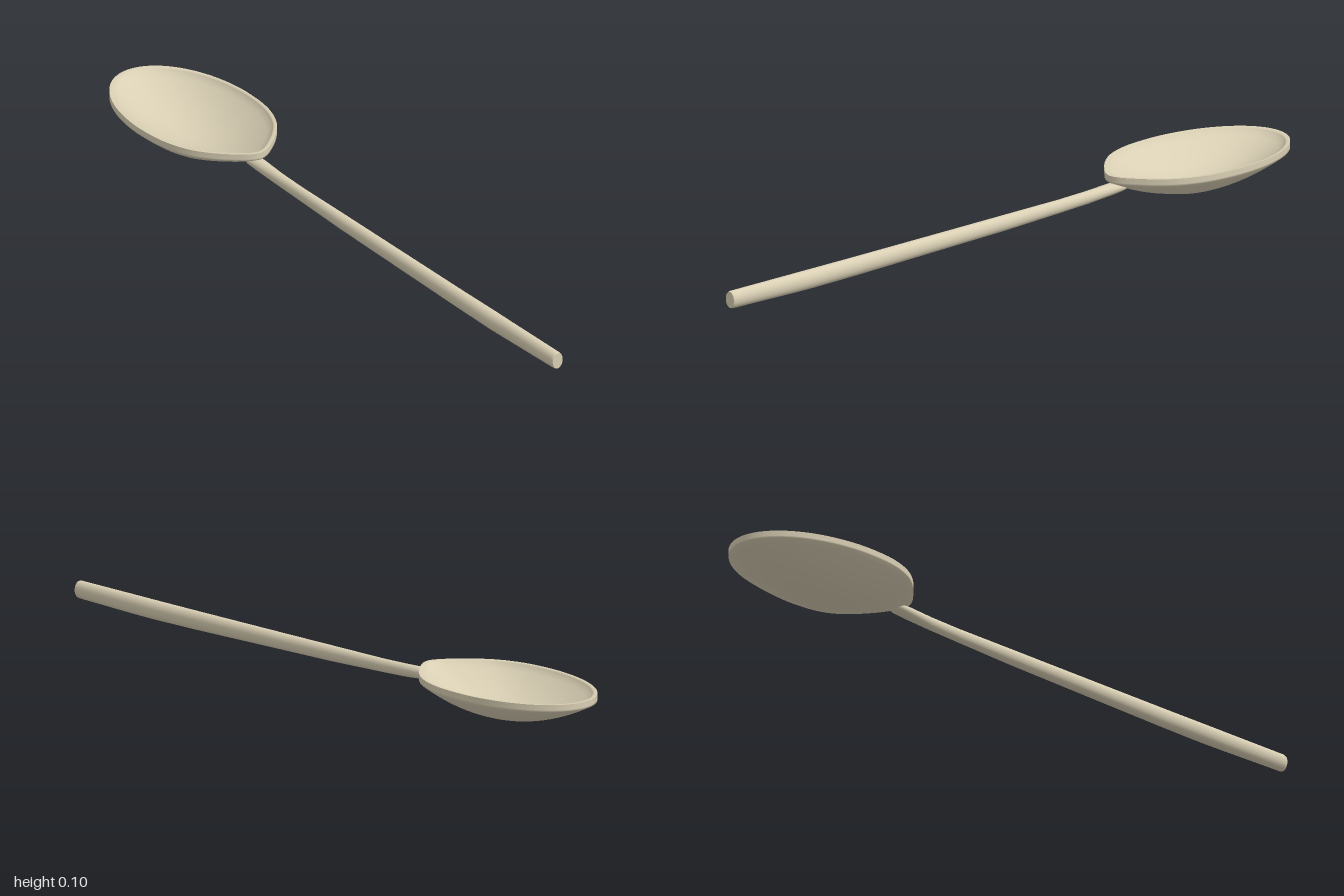
import * as THREE from 'three';

// Skin a list of closed rings (equal point counts) into one surface
function loft(rings) {
  const n = rings[0].length;
  const index = [];
  for (let i = 0; i < rings.length - 1; i++) {
    for (let j = 0; j < n; j++) {
      const a = i * n + j, b = i * n + (j + 1) % n;
      index.push(a, a + n, b, b, a + n, b + n);
    }
  }
  const geometry = new THREE.BufferGeometry();
  geometry.setAttribute('position', new THREE.Float32BufferAttribute(rings.flat(2), 3));
  geometry.setIndex(index);
  geometry.computeVertexNormals();
  return geometry;
}

// Egg-shaped rim outline with a tapered neck, relative to the bowl's lowest point
function bowlOutline() {
  const half = [];
  for (let i = 0; i <= 8; i++) {
    const a = -Math.PI / 2 + (i / 8) * Math.PI / 2;
    half.push([0.183 * Math.cos(a), 0.31 * Math.sin(a)]);
  }
  half.push([0.174, 0.1], [0.145, 0.18], [0.104, 0.235], [0.06, 0.275], [0.028, 0.298], [0, 0.307]);
  const mirrored = half.slice(1, -1).reverse().map(([x, z]) => [-x, z]);
  const points = half.concat(mirrored).map(([x, z]) => new THREE.Vector3(x, 0, z));
  return new THREE.CatmullRomCurve3(points, true).getSpacedPoints(96).slice(0, 96);
}

function bowlGeometry() {
  const outline = bowlOutline();
  const ring = (s, y) => outline.map(p => [p.x * s, y, -0.69 + p.z * s]);
  const rings = [];
  // Domed underside
  for (let i = 0; i <= 16; i++) rings.push(ring(i / 16, 0.08 * (i / 16) ** 2));
  // Upright lip, with doubled rings where the edge is crisp
  rings.push(ring(1, 0.085), ring(1, 0.1), ring(1, 0.1));
  rings.push(ring(0.965, 0.1), ring(0.945, 0.097), ring(0.93, 0.09));
  // Hollow inside
  for (let i = 15; i >= 0; i--) rings.push(ring(0.93 * i / 16, 0.018 + 0.072 * (i / 16) ** 2));
  return loft(rings);
}

// Oval handle stations: z, half width, bottom y, top y
const stations = [
  [1.0, 0.0, 0.037, 0.037],
  [1.0, 0.017, 0.014, 0.06],
  [1.0, 0.017, 0.014, 0.06],
  [0.994, 0.019, 0.012, 0.062],
  [0.78, 0.02, 0.009, 0.063],
  [0.7, 0.022, 0.009, 0.063],
  [0.55, 0.02, 0.011, 0.064],
  [0.2, 0.019, 0.02, 0.067],
  [0.0, 0.018, 0.025, 0.069],
  [-0.2, 0.015, 0.033, 0.071],
  [-0.3, 0.016, 0.038, 0.074],
  [-0.38, 0.02, 0.045, 0.078],
  [-0.42, 0.021, 0.05, 0.077],
  [-0.445, 0.015, 0.056, 0.073],
  [-0.445, 0.0, 0.064, 0.064],
];

function handleGeometry() {
  return loft(stations.map(([z, w, low, high]) =>
    Array.from({ length: 32 }, (_, j) => {
      const a = (j / 32) * Math.PI * 2;
      return [w * Math.cos(a), (low + high) / 2 + (high - low) / 2 * Math.sin(a), z];
    })));
}

export function createModel() {
  const wood = new THREE.MeshStandardMaterial({ color: 0xd9cfb4 });
  wood.name = 'pale wood';
  const group = new THREE.Group();
  group.name = 'spoon';
  const add = (name, geometry) => {
    const mesh = new THREE.Mesh(geometry, wood);
    mesh.name = name;
    group.add(mesh);
  };
  add('bowl', bowlGeometry());
  add('handle', handleGeometry());
  return group;
}
